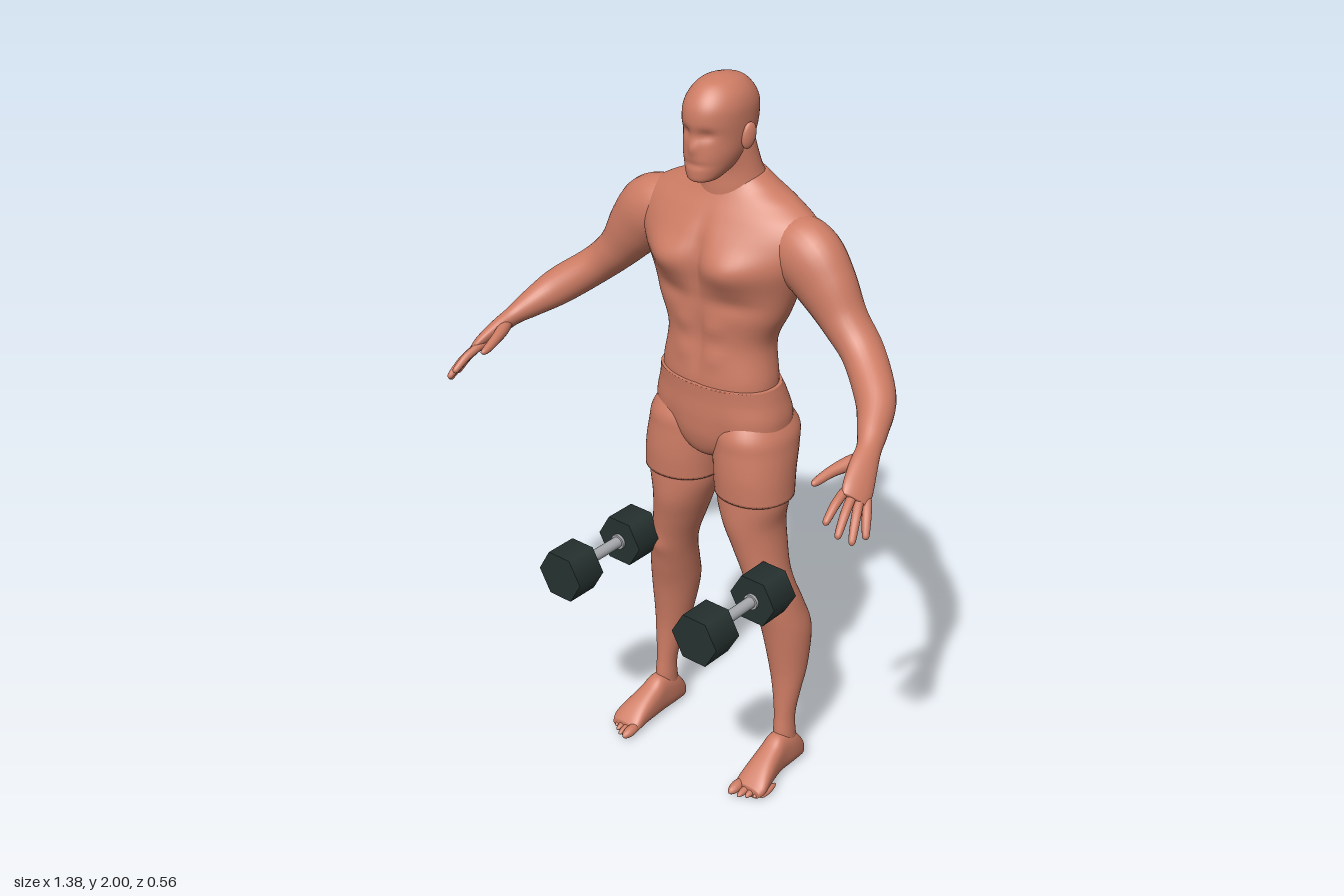
import * as THREE from 'three';

const V = (x, y, z) => new THREE.Vector3(x, y, z);
const mat = (name, color) => Object.assign(new THREE.MeshStandardMaterial({ color }), { name });

// Catmull-Rom interpolation of every column of a table of rows
function smooth(rows, k = 6) {
  const out = [];
  for (let i = 0; i < rows.length - 1; i++) {
    const [a, b, c, d] = [-1, 0, 1, 2].map(o => rows[Math.min(Math.max(i + o, 0), rows.length - 1)]);
    for (let s = 0; s < k; s++) {
      const t = s / k;
      out.push(b.map((p, j) => p + 0.5 * t * (c[j] - a[j] + t * (2 * a[j] - 5 * p + 4 * c[j] - d[j]
        + t * (3 * (p - c[j]) + d[j] - a[j])))));
    }
  }
  out.push(rows[rows.length - 1]);
  return out;
}

// Superellipse ring counter-clockwise about u x v
function ring(c, u, v, a, b, e = 2, n = 40) {
  const pw = x => Math.sign(x) * Math.abs(x) ** (2 / e);
  return Array.from({ length: n }, (_, j) => {
    const t = j / n * Math.PI * 2;
    return c.clone().addScaledVector(u, a * pw(Math.cos(t))).addScaledVector(v, b * pw(Math.sin(t)));
  });
}

// Closed skin over rings; bumps are [x, y, z, rx, ry, dz], symmetric in x
function skin(rings, bumps = []) {
  const n = rings[0].length, m = rings.length, pts = rings.flat(), idx = [];
  for (let i = 0; i < m - 1; i++) for (let j = 0; j < n; j++) {
    const a = i * n + j, b = i * n + (j + 1) % n;
    idx.push(a, b, b + n, a, b + n, a + n);
  }
  const mid = r => r.reduce((s, p) => s.add(p), V(0, 0, 0)).divideScalar(n);
  pts.push(mid(rings[0]), mid(rings[m - 1]));
  for (let j = 0; j < n; j++) {
    const k = (j + 1) % n;
    idx.push(m * n, k, j, m * n + 1, (m - 1) * n + j, (m - 1) * n + k);
  }
  for (const p of pts) {
    let dz = 0;
    for (const [x, y, z, rx, ry, d] of bumps)
      dz += d * Math.exp(-(((Math.abs(p.x) - x) / rx) ** 2) - ((p.y - y) / ry) ** 2 - ((p.z - z) / 0.07) ** 2);
    p.z += dz;
  }
  const g = new THREE.BufferGeometry().setFromPoints(pts);
  g.setIndex(idx);
  g.computeVertexNormals();
  return g;
}

// Upright body part, bottom to top, rows: [y, centreX, halfWidth, zFront, zBack, exponent]
const upright = (rows, bumps, n) => skin(smooth(rows).map(([y, x, rx, zf, zb, e]) =>
  ring(V(x, y, (zf + zb) / 2), V(0, 0, 1), V(1, 0, 0), (zf - zb) / 2, rx, e, n)), bumps);

// Limb along a path, rows: [x, y, z, thickness, breadth]
function limb(rows, n = 28) {
  const r = smooth(rows), at = i => V(...r[Math.min(Math.max(i, 0), r.length - 1)].slice(0, 3));
  return skin(r.map((q, i) => {
    const d = at(i + 1).sub(at(i - 1)).normalize(), u = V(0.7, 0.7, 0);
    u.addScaledVector(d, -u.dot(d)).normalize();
    return ring(at(i), u, d.clone().cross(u), Math.max(q[3], 0.001), Math.max(q[4], 0.001), 2, n);
  }));
}

function mirrored(g) {
  const m = g.clone().scale(-1, 1, 1), ix = m.index.array;
  for (let i = 0; i < ix.length; i += 3) [ix[i], ix[i + 1]] = [ix[i + 1], ix[i]];
  m.computeVertexNormals();
  return m;
}

export function createModel() {
  const model = new THREE.Group();
  model.name = 'athlete';
  const skinTone = mat('skin', 0xcd7c64), iron = mat('iron', 0x263230), steel = mat('steel', 0xa8aaae);
  const add = (name, g, m = skinTone) => {
    const mesh = new THREE.Mesh(g, m);
    mesh.name = name;
    model.add(mesh);
    return mesh;
  };
  const pair = (name, g) => { add('left' + name, g); add('right' + name, mirrored(g)); };

  // Torso with chest, belly line, shoulder blades and spine groove
  add('torso', upright([
    [1.14, 0, 0.165, -0.01, -0.215, 2.2], [1.21, 0, 0.17, -0.005, -0.215, 2.2],
    [1.315, 0, 0.158, -0.015, -0.218, 2.2], [1.4, 0, 0.195, -0.01, -0.235, 2.1],
    [1.47, 0, 0.222, -0.005, -0.25, 2], [1.54, 0, 0.25, 0.002, -0.262, 2],
    [1.6, 0, 0.275, -0.012, -0.268, 1.8], [1.65, 0, 0.265, -0.04, -0.262, 1.8],
    [1.69, 0, 0.205, -0.065, -0.25, 1.8], [1.72, 0, 0.14, -0.08, -0.238, 1.9],
    [1.75, 0, 0.09, -0.09, -0.222, 2],
  ], [
    [0.1, 1.53, 0, 0.075, 0.055, 0.028], [0, 1.55, 0, 0.02, 0.09, -0.016],
    [0.1, 1.435, -0.01, 0.08, 0.025, -0.008], [0, 1.33, -0.015, 0.015, 0.12, -0.008],
    [0.05, 1.36, -0.01, 0.03, 0.025, 0.006], [0.05, 1.28, -0.01, 0.03, 0.025, 0.006],
    [0, 1.46, -0.26, 0.03, 0.26, 0.022], [0.1, 1.6, -0.26, 0.06, 0.08, -0.018],
    [0.07, 1.28, -0.22, 0.035, 0.1, -0.006],
  ], 80));

  // Neck and head with brow, eye hollows and nose ridge
  add('neck', upright([
    [1.64, 0, 0.1, -0.07, -0.25, 2], [1.71, 0, 0.098, -0.07, -0.24, 2],
    [1.77, 0, 0.086, -0.07, -0.208, 2], [1.84, 0, 0.074, -0.05, -0.19, 2],
  ]));
  add('head', upright([
    [1.75, 0, 0.022, -0.002, -0.05, 2], [1.757, 0, 0.04, 0.006, -0.08, 2],
    [1.785, 0, 0.06, 0.008, -0.135, 2], [1.82, 0, 0.073, 0.006, -0.175, 2.1],
    [1.86, 0, 0.079, 0.004, -0.202, 2.1], [1.9, 0, 0.081, 0.009, -0.212, 2.1],
    [1.935, 0, 0.079, 0.004, -0.21, 2.1], [1.965, 0, 0.068, -0.014, -0.194, 2],
    [1.988, 0, 0.046, -0.042, -0.167, 2], [1.998, 0, 0.02, -0.08, -0.13, 2], [2, 0, 0.004, -0.1, -0.11, 2],
  ], [
    [0.032, 1.872, 0, 0.02, 0.014, -0.01], [0, 1.838, 0, 0.013, 0.02, 0.01], [0, 1.795, 0, 0.04, 0.008, -0.004],
  ], 56));
  const ear = new THREE.SphereGeometry(1, 18, 14).scale(0.01, 0.034, 0.02)
    .rotateX(-0.2).rotateY(-0.35).translate(0.085, 1.86, -0.105);
  pair('Ear', ear);

  // Shorts: hips with a rear cleft, and two sleeves
  add('shortsHips', upright([
    [0.965, 0, 0.03, -0.06, -0.16, 2], [0.99, 0, 0.1, -0.025, -0.21, 2], [1.04, 0, 0.185, -0.006, -0.243, 2.2],
    [1.1, 0, 0.199, 0, -0.252, 2.3], [1.16, 0, 0.187, 0, -0.24, 2.2], [1.2, 0, 0.177, 0.002, -0.222, 2.2],
  ], [[0, 1.05, -0.25, 0.025, 0.08, 0.035], [0.09, 1.08, -0.25, 0.06, 0.06, -0.012],
    [0.085, 1.03, 0, 0.03, 0.08, -0.006]], 80));
  pair('ShortsSleeve', upright([
    [0.882, 0.121, 0.108, -0.004, -0.208, 2.1], [0.95, 0.117, 0.109, 0, -0.22, 2.1],
    [1.02, 0.111, 0.108, -0.003, -0.244, 2.1], [1.07, 0.108, 0.1, -0.008, -0.252, 2.1],
    [1.13, 0.1, 0.07, -0.04, -0.21, 2],
  ]));

  // Legs, ankle to thigh, with a kneecap
  pair('Leg', upright([
    [0.05, 0.222, 0.03, -0.1, -0.188, 2], [0.12, 0.22, 0.029, -0.1, -0.172, 2],
    [0.18, 0.218, 0.029, -0.105, -0.172, 2], [0.26, 0.215, 0.041, -0.107, -0.19, 2],
    [0.335, 0.209, 0.054, -0.103, -0.217, 2], [0.45, 0.199, 0.067, -0.085, -0.235, 2],
    [0.53, 0.186, 0.066, -0.065, -0.215, 2], [0.6, 0.172, 0.063, -0.048, -0.192, 2],
    [0.66, 0.157, 0.064, -0.038, -0.185, 2], [0.73, 0.138, 0.072, -0.025, -0.192, 2],
    [0.8, 0.122, 0.083, -0.012, -0.198, 2], [0.87, 0.117, 0.1, -0.01, -0.2, 2],
    [0.95, 0.115, 0.1, -0.012, -0.2, 2],
  ], [[0.172, 0.62, -0.045, 0.03, 0.03, 0.006]]));

  // Feet, heel to ball, rows: [z, centreX, halfWidth, height]
  pair('Foot', skin(smooth([
    [-0.206, 0.222, 0.012, 0.035], [-0.195, 0.222, 0.027, 0.065], [-0.155, 0.222, 0.034, 0.11],
    [-0.1, 0.222, 0.035, 0.125], [-0.06, 0.224, 0.038, 0.104], [-0.01, 0.229, 0.044, 0.076],
    [0.025, 0.232, 0.048, 0.05], [0.045, 0.23, 0.042, 0.03],
  ]).map(([z, x, rx, h]) => ring(V(x, h / 2, z), V(1, 0, 0), V(0, 1, 0), rx, h / 2, 2.5))));
  [[0.198, 0.086, 0.016], [0.222, 0.078, 0.011], [0.241, 0.066, 0.011], [0.258, 0.053, 0.01], [0.273, 0.04, 0.01]]
    .forEach(([x, tip, r], i) => pair('Toe' + (i + 1),
      new THREE.SphereGeometry(1, 14, 10).scale(r, r * 0.95, 0.035).rotateX(0.12).translate(x, r + 0.003, tip - 0.035)));

  // Arms from shoulder through elbow to palm
  pair('Arm', limb([
    [0.15, 1.595, -0.15, 0.06, 0.06], [0.2, 1.592, -0.145, 0.085, 0.075], [0.255, 1.572, -0.14, 0.094, 0.078],
    [0.31, 1.515, -0.138, 0.082, 0.07], [0.37, 1.44, -0.135, 0.06, 0.06], [0.44, 1.375, -0.12, 0.052, 0.057],
    [0.525, 1.307, -0.055, 0.051, 0.05], [0.568, 1.265, 0.015, 0.037, 0.039], [0.59, 1.24, 0.06, 0.026, 0.032],
    [0.607, 1.215, 0.105, 0.022, 0.038], [0.625, 1.183, 0.15, 0.018, 0.042], [0.633, 1.165, 0.175, 0.012, 0.036],
  ]));

  // Fingers: knuckle and tip positions
  [[0.608, 1.183, 0.18, 0.617, 1.135, 0.268], [0.626, 1.171, 0.177, 0.648, 1.105, 0.26],
    [0.64, 1.16, 0.165, 0.672, 1.085, 0.235], [0.652, 1.152, 0.148, 0.684, 1.087, 0.195]]
    .forEach(([x, y, z, X, Y, Z], i) => pair('Finger' + (i + 1), limb(
      [[-0.25, 0.009], [0, 0.0115], [0.45, 0.0115], [0.85, 0.0095], [0.96, 0.007], [1, 0.001]].map(([t, r]) =>
        [x + (X - x) * t, y + (Y - y) * t + 0.03 * t * (1 - t), z + (Z - z) * t, r, r]), 14)));
  pair('Thumb', limb([[0.595, 1.23, 0.075, 0.014, 0.014], [0.577, 1.222, 0.115, 0.017, 0.018],
    [0.559, 1.213, 0.165, 0.014, 0.014], [0.55, 1.203, 0.205, 0.011, 0.011],
    [0.548, 1.2, 0.222, 0.007, 0.007], [0.547, 1.198, 0.227, 0.001, 0.001]], 14));

  // Dumbbells: two hexagonal heads, collars and a handle each
  for (const [side, x] of [['left', 0.235], ['right', -0.235]]) {
    const rod = (name, r, z0, z1, n, m) => add(side + name,
      new THREE.CylinderGeometry(r, r, z1 - z0, n).rotateY(Math.PI / 6 * (n === 6 ? 3 : 0)).rotateX(Math.PI / 2)
        .translate(x, 0.65, (z0 + z1) / 2), m);
    rod('WeightBack', 0.074, -0.05, 0.043, 6, iron).geometry.computeBoundingBox();
    rod('WeightFront', 0.074, 0.19, 0.283, 6, iron);
    rod('Handle', 0.016, 0.04, 0.195, 24, steel);
    rod('CollarBack', 0.022, 0.04, 0.051, 24, steel);
    rod('CollarFront', 0.022, 0.182, 0.193, 24, steel);
  }
  return model;
}
